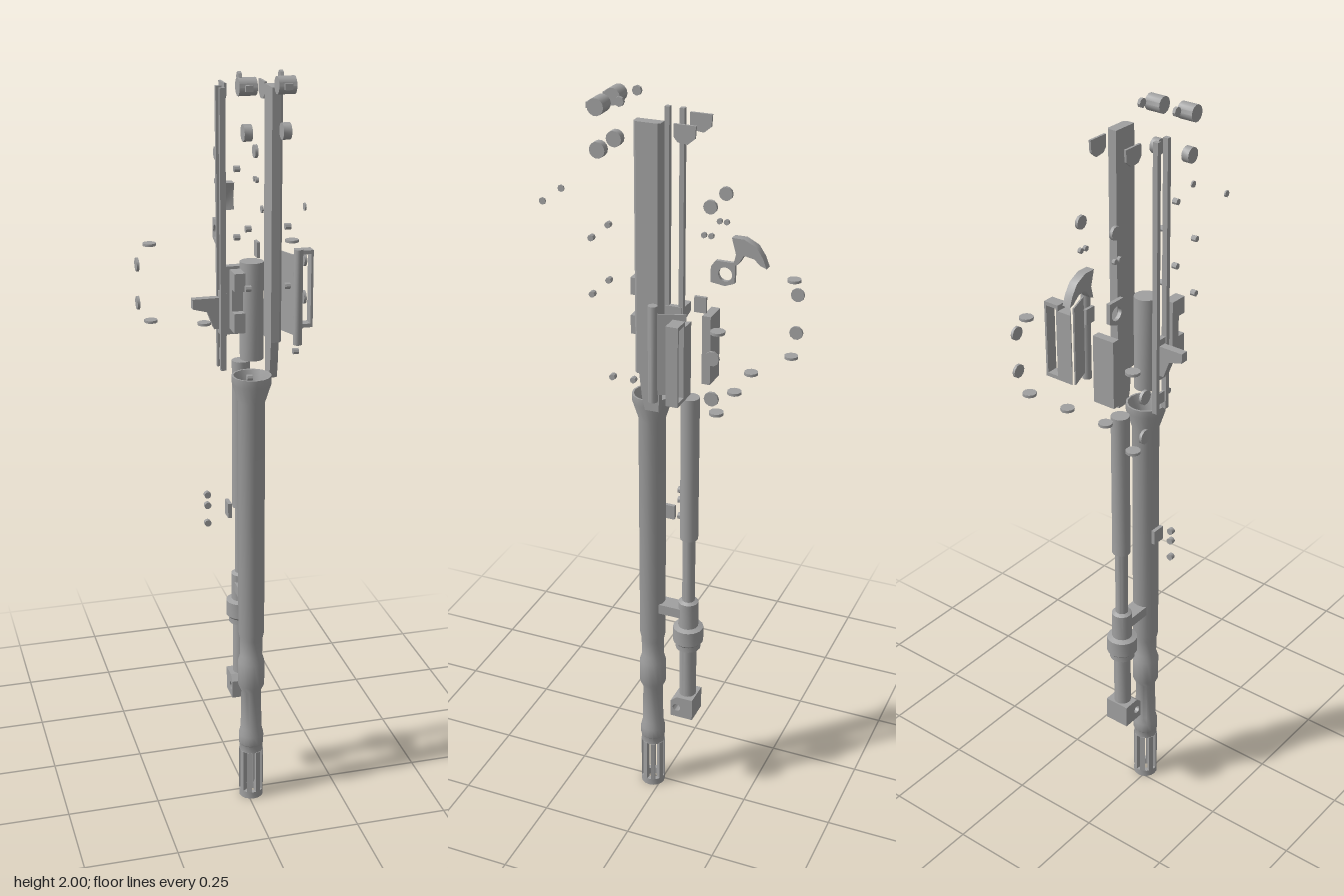
import * as THREE from 'three';
import { toCreasedNormals } from 'three/addons/utils/BufferGeometryUtils.js';

export function createModel() {
  const root = new THREE.Group();
  const steel = new THREE.MeshStandardMaterial({ color: 0xa0a0a0 });

  const add = (name, geo) => {
    const m = new THREE.Mesh(toCreasedNormals(geo, 0.65), steel);
    m.name = name;
    root.add(m);
    return m;
  };
  // Box given by its limits on each axis
  const box = (name, x0, x1, y0, y1, z0, z1) =>
    add(name, new THREE.BoxGeometry(x1 - x0, y1 - y0, z1 - z0)
      .translate((x0 + x1) / 2, (y0 + y1) / 2, (z0 + z1) / 2));
  // Cylinder along a chosen axis
  const cyl = (name, axis, r, len, x, y, z, sides = 12) => {
    const g = new THREE.CylinderGeometry(r, r, len, sides);
    if (axis === 'x') g.rotateZ(Math.PI / 2);
    if (axis === 'z') g.rotateX(Math.PI / 2);
    return add(name, g.translate(x, y, z));
  };
  const turned = (name, pts, x, z) =>
    add(name, new THREE.LatheGeometry(pts.map(p => new THREE.Vector2(...p)), 16).translate(x, 0, z));
  const outline = pts => new THREE.Shape(pts.map(p => new THREE.Vector2(...p)));
  const extrude = (shape, depth) =>
    new THREE.ExtrudeGeometry(shape, { depth, bevelEnabled: false, curveSegments: 10 });
  // Plate with a (z, y) outline, extruded along x
  const sidePlate = (name, pts, x0, x1, hole) => {
    const s = outline(pts.map(([z, y]) => [-z, y]));
    if (hole) s.holes.push(new THREE.Path().absarc(-hole[0], hole[1], hole[2], 0, Math.PI * 2, true));
    return add(name, extrude(s, x1 - x0).rotateY(Math.PI / 2).translate(x0, 0, 0));
  };
  // Post with an (x, z) outline, extruded along y
  const post = (name, pts, y0, y1) =>
    add(name, extrude(outline(pts.map(([x, z]) => [x, -z])), y1 - y0)
      .rotateX(-Math.PI / 2).translate(0, y0, 0));

  const AX = 0.011, BZ = 0.025, TZ = -0.079;

  // Main tube with flared, hollow upper end
  turned('mainTube', [
    [0.018, 0.145], [0.032, 0.145], [0.032, 0.165], [0.034, 0.168], [0.034, 0.195], [0.029, 0.215],
    [0.027, 0.33], [0.036, 0.35], [0.036, 0.42], [0.03, 0.44], [0.031, 0.49], [0.035, 0.51],
    [0.035, 1.165], [0.051, 1.215], [0.051, 1.235], [0.046, 1.235], [0.029, 1.18], [0.029, 1.1], [0, 1.1],
  ], AX, BZ);

  // Slotted lower end: a ring and eight bars
  turned('slottedEndRing', [[0.02, 0], [0.033, 0], [0.033, 0.02], [0.02, 0.02], [0.02, 0]], AX, BZ);
  for (let i = 0; i < 8; i++) {
    const a = (i + 0.5) * Math.PI / 4, h = 0.21, s = new THREE.Shape();
    s.absarc(0, 0, 0.033, a - h, a + h, false);
    s.absarc(0, 0, 0.021, a + h, a - h, true);
    add('slottedEndBar', new THREE.ExtrudeGeometry(s, { depth: 0.126, bevelEnabled: false, curveSegments: 3 })
      .rotateX(-Math.PI / 2).translate(AX, 0.02, BZ));
  }

  // Thinner rear tube with collars, clamp and end block
  turned('rearTube', [
    [0, 0.32], [0.023, 0.32], [0.023, 0.485], [0.034, 0.49], [0.034, 0.505], [0.041, 0.512], [0.041, 0.555],
    [0.027, 0.56], [0.027, 0.635], [0.017, 0.64], [0.017, 0.83], [0.024, 0.832], [0.024, 1.242], [0, 1.242],
  ], AX, TZ);
  box('tubeClampArm', -0.012, 0.033, 0.588, 0.616, -0.065, 0);
  sidePlate('tubeEndBlock', [[-0.043, 0.27], [-0.106, 0.27], [-0.106, 0.335], [-0.06, 0.335], [-0.043, 0.32]],
    -0.024, 0.046, [-0.06, 0.3, 0.011]);

  // Central cylinder and rear block
  cyl('centralCylinder', 'y', 0.03, 0.25, AX, 1.405, BZ, 16);
  box('rearBlock', -0.02, 0.042, 1.3, 1.48, -0.142, -0.12);

  // Left rail with a narrow foot
  post('sideRail', [[0.057, 0.04], [0.078, 0.04], [0.085, 0.033], [0.085, -0.022], [0.078, -0.028], [0.057, -0.028]],
    1.32, 1.95);
  sidePlate('railFoot', [[0.03, 1.32], [0.022, 1.25], [0.015, 1.22], [-0.022, 1.22], [-0.025, 1.32]], 0.06, 0.08);

  // Right rail made of two slim bars
  for (const z of [-0.026, 0.012]) box('slimBar', -0.066, -0.052, 1.25, 1.95, z - 0.006, z + 0.006);
  box('slimBarBridge', -0.062, -0.056, 1.27, 1.3, -0.026, 0.012);

  // Side handle with a sloping underside
  add('sideHandle', extrude(outline([
    [-0.133, 1.41], [-0.095, 1.4], [-0.078, 1.355], [-0.066, 1.355], [-0.066, 1.435], [-0.133, 1.435],
  ]), 0.021).translate(0, 0, -0.021));
  box('handleBracket', -0.064, -0.05, 1.34, 1.45, -0.028, 0.016);

  // C-shaped front housing
  sidePlate('frontHousing', [
    [0.05, 1.37], [0.098, 1.37], [0.098, 1.42], [0.075, 1.42], [0.075, 1.475], [0.098, 1.475], [0.098, 1.52], [0.05, 1.52],
  ], -0.052, -0.025);

  // Cover with hinge rod, next to an open frame
  post('coverBody', [[0.125, -0.125], [0.165, -0.125], [0.165, -0.094], [0.172, -0.083], [0.165, -0.08], [0.14, -0.105]],
    1.31, 1.5);
  const panel = add('coverPanel', new THREE.BoxGeometry(0.004, 0.21, 0.074));
  panel.position.set(0.138, 1.41, -0.078);
  panel.rotation.y = 0.35;
  cyl('hingeRod', 'y', 0.012, 0.25, 0.15, 1.41, -0.037);
  const frame = outline([[0.165, 1.31], [0.208, 1.31], [0.208, 1.515], [0.165, 1.515]]);
  frame.holes.push(new THREE.Path([[0.171, 1.32], [0.171, 1.505], [0.202, 1.505], [0.202, 1.32]]
    .map(p => new THREE.Vector2(...p))));
  add('openFrame', extrude(frame, 0.031).translate(0, 0, -0.125));

  // Curved lever
  sidePlate('curvedLever', [
    [-0.184, 1.68], [-0.215, 1.68], [-0.245, 1.665], [-0.262, 1.64], [-0.272, 1.615], [-0.258, 1.62],
    [-0.24, 1.635], [-0.215, 1.64], [-0.2, 1.615], [-0.188, 1.61], [-0.195, 1.64],
  ], 0, 0.022);

  // Paired small plates on both sides
  for (const x of [-0.037, 0.064]) {
    sidePlate('endTab', [[-0.055, 1.95], [-0.11, 1.95], [-0.108, 1.92], [-0.09, 1.905], [-0.065, 1.908], [-0.055, 1.92]],
      x, x + 0.006);
    cyl('smallDisc', 'x', 0.017, 0.008, x + 0.003, 1.765, -0.147);
    for (const z of [-0.132, -0.15]) cyl('smallPin', 'x', 0.007, 0.008, x + 0.003, 1.695, z, 8);
    cyl('frontPin', 'x', 0.009, 0.004, x, 1.72, 0.287, 8);
    cyl('halfDisc', 'x', 0.012, 0.008, x + 0.002, 1.985, 0.08, 8);
  }
  sidePlate('holedPlate', [[-0.113, 1.54], [-0.15, 1.535], [-0.175, 1.545], [-0.175, 1.597], [-0.125, 1.597], [-0.113, 1.58]],
    -0.038, -0.028, [-0.15, 1.565, 0.018]);
  box('smallLatch', 0.062, 0.07, 1.5, 1.54, -0.14, -0.11);

  // Rollers at the upper end
  for (const x of [-0.032, 0.062]) {
    cyl('wideRoller', 'x', 0.021, 0.043, x, 1.97, 0.134, 14);
    cyl('narrowRoller', 'x', 0.02, 0.02, x, 1.865, 0.137, 14);
    box('rollerStud', x - 0.009, x + 0.009, 1.962, 1.976, 0.152, 0.163);
  }

  // Loose pins: [x, y, z]
  for (const [x, y, z] of [
    [-0.035, 1.645, 0.16], [0.062, 1.645, 0.16], [-0.035, 1.5, 0.16], [0.062, 1.5, 0.16],
    [-0.04, 1.77, 0.075], [-0.04, 1.605, 0.075], [0.107, 1.31, 0.088], [-0.011, 1.25, 0.085],
  ]) cyl('loosePin', 'x', 0.008, 0.014, x, y, z, 8);
  for (const y of [0.905, 0.875, 0.825]) cyl('lowerPin', 'z', 0.009, 0.012, -0.098, y, -0.01, 10);
  box('lowerClip', -0.05, -0.04, 0.845, 0.885, -0.016, 0.02);

  // Flat discs lying level, and upright ones at the outer sides
  for (const [x, z] of [[-0.183, -0.275], [0.186, -0.215]]) {
    for (const y of [1.305, 1.512]) cyl('levelDisc', 'y', 0.018, 0.007, x, y, z, 10);
    for (const y of [1.357, 1.46]) cyl('uprightDisc', 'x', 0.018, 0.007, x + Math.sign(x) * 0.034, y, z, 10);
  }
  for (const x of [-0.053, 0.065]) cyl('innerDisc', 'y', 0.018, 0.007, x, 1.305, -0.215, 10);

  return root;
}
